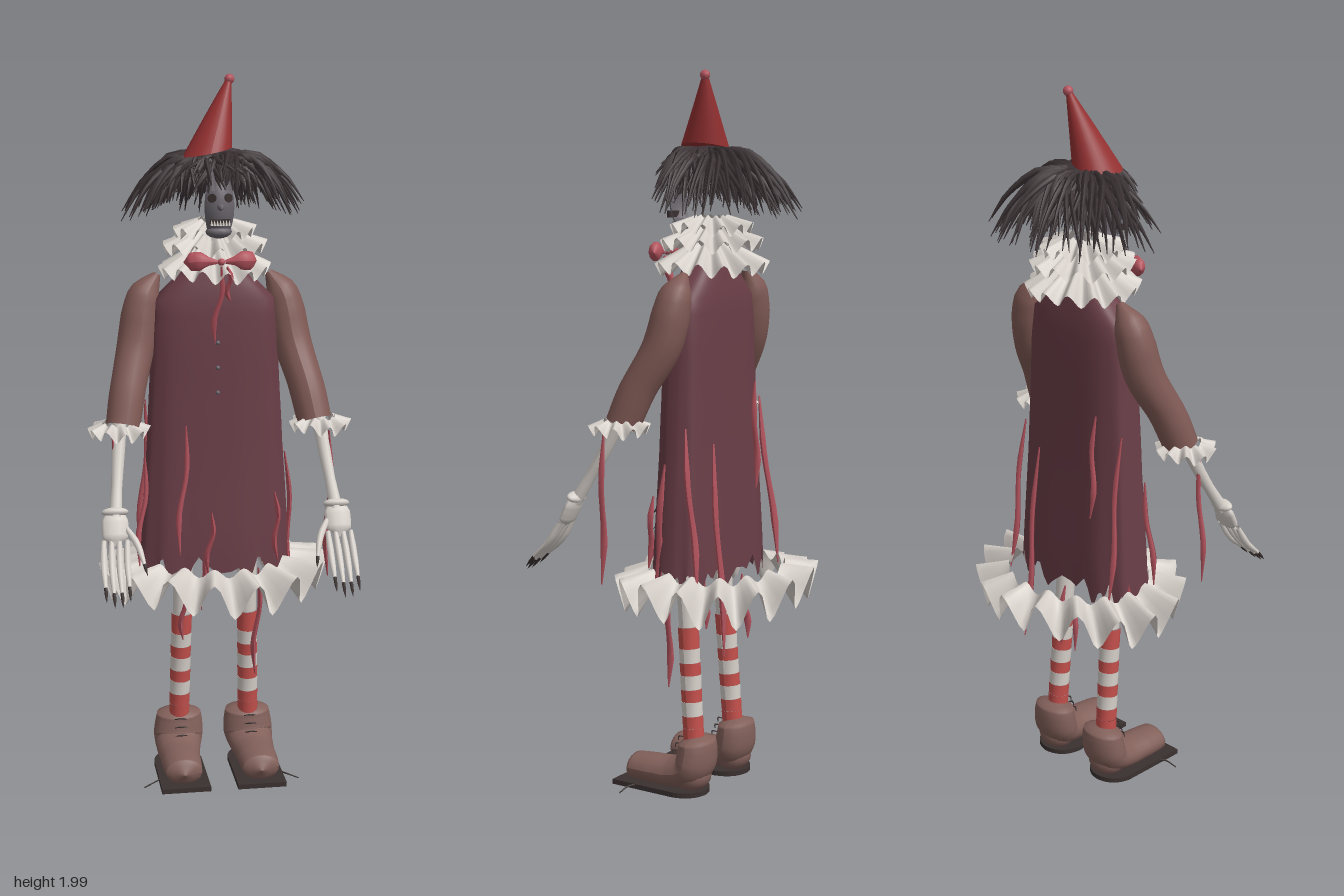
import * as THREE from 'three';
import { mergeGeometries } from 'three/addons/utils/BufferGeometryUtils.js';

const mat = (name, color, side = THREE.FrontSide) => {
  const m = new THREE.MeshStandardMaterial({ color, side });
  m.name = name;
  return m;
};
const lerp = THREE.MathUtils.lerp;
const sample = (list, t) => { // linear lookup in a short list
  const f = Math.min(t, 0.99999) * (list.length - 1), i = Math.floor(f);
  return lerp(list[i], list[i + 1], f - i);
};

// Tapered tube along points; sx and sz squash the section
function sweep(pts, radii, { n = 12, sides = 10, sx = 1, sz = 1 } = {}) {
  const curve = new THREE.CatmullRomCurve3(pts.map(p => new THREE.Vector3(...p)));
  const g = new THREE.TubeGeometry(curve, n, 1, sides, false);
  const p = g.attributes.position, v = new THREE.Vector3();
  for (let i = 0; i <= n; i++) {
    const c = curve.getPointAt(i / n), r = sample(radii, i / n);
    for (let j = 0; j <= sides; j++) {
      const k = i * (sides + 1) + j;
      v.fromBufferAttribute(p, k).sub(c).multiplyScalar(r);
      p.setXYZ(k, c.x + v.x * sx, c.y + v.y, c.z + v.z * sz);
    }
  }
  g.computeVertexNormals();
  return g;
}

// Closed ring surface, rows from top to bottom; f(k, angle) gives a point
function ringSurface(rows, cols, f) {
  const pos = [], idx = [];
  for (let i = 0; i <= rows; i++)
    for (let j = 0; j < cols; j++) pos.push(...f(i / rows, j / cols * Math.PI * 2));
  for (let i = 0; i < rows; i++)
    for (let j = 0; j < cols; j++) {
      const a = i * cols + j, b = i * cols + (j + 1) % cols;
      idx.push(a, b, a + cols, b, b + cols, a + cols);
    }
  const g = new THREE.BufferGeometry();
  g.setAttribute('position', new THREE.Float32BufferAttribute(pos, 3));
  g.setIndex(idx);
  g.computeVertexNormals();
  return g;
}

// Pleated frill from an inner ellipse to a wavy outer one
const frill = ([cx, cz], inner, outer, waves, amp, flare) =>
  ringSurface(5, waves * 8, (k, t) => {
    const w = Math.sin(waves * t) + 0.25 * Math.sin(3 * t + 1);
    const s = 1 + flare * w * k;
    return [cx + lerp(inner[0], outer[0], k) * s * Math.cos(t),
      lerp(inner[2], outer[2], k) + amp * w * (0.25 + 0.75 * k),
      cz + lerp(inner[1], outer[1], k) * s * Math.sin(t)];
  });

export function createModel() {
  const root = new THREE.Group();
  const M = {
    dress: mat('dressMaroon', 0x6a3e47, THREE.DoubleSide),
    sleeve: mat('sleeveBrown', 0x805a55),
    shoe: mat('shoeBrown', 0x82605a),
    hat: mat('hatRed', 0x943031),
    hair: mat('hairBlack', 0x3b3234),
    white: mat('boneWhite', 0xd6cfc9, THREE.DoubleSide),
    stripe: mat('stripeRed', 0xc4504c),
    ribbon: mat('ribbonRose', 0xb5545e),
    face: mat('faceGrey', 0x6a656c, THREE.DoubleSide),
    sole: mat('soleDark', 0x3a3130),
  };
  const add = (name, geo, m, x = 0, y = 0, z = 0) => {
    const mesh = new THREE.Mesh(geo, m);
    mesh.name = name;
    mesh.position.set(x, y, z);
    root.add(mesh);
    return mesh;
  };
  let seed = 7;
  const rnd = () => (seed = (seed * 16807) % 2147483647) / 2147483647;

  // Dress with a ragged hem
  const hx = [0.08, 0.165, 0.176, 0.179, 0.183, 0.188, 0.192, 0.198, 0.203, 0.208, 0.213];
  const hz = [0.05, 0.066, 0.07, 0.072, 0.073, 0.075, 0.077, 0.08, 0.084, 0.088, 0.09];
  add('dress', ringSurface(20, 96, (k, t) => {
    const c = Math.cos(t), s = Math.sin(t), e = 0.65;
    const fold = 1 + 0.02 * k * Math.sin(9 * t + 1);
    const rag = k === 1 ? 0.02 * Math.sin(t * 23) + 0.02 * Math.sin(t * 11 + 2) : 0;
    return [sample(hx, k) * fold * Math.sign(c) * Math.abs(c) ** e,
      lerp(1.48, 0.63, k) + rag,
      -0.055 + sample(hz, k) * fold * Math.sign(s) * Math.abs(s) ** e];
  }), M.dress);
  for (const y of [1.28, 1.21, 1.14]) add('button', new THREE.SphereGeometry(0.006, 8, 6), M.face, 0, y, 0.022);

  // Frills of hem and neck: [x radius, z radius, y]
  add('hemFrill', frill([0, -0.08], [0.215, 0.18, 0.64], [0.316, 0.25, 0.582], 16, 0.052, 0.055), M.white);
  add('collarLower', frill([0, -0.06], [0.06, 0.055, 1.535], [0.148, 0.15, 1.468], 14, 0.018, 0.06), M.white);
  add('collarMiddle', frill([0, -0.06], [0.05, 0.05, 1.58], [0.138, 0.135, 1.532], 13, 0.018, 0.06), M.white);
  add('collarUpper', frill([0, -0.06], [0.045, 0.045, 1.61], [0.11, 0.11, 1.575], 13, 0.016, 0.06), M.white);

  // Bow at the throat
  for (const s of [-1, 1])
    add('bowLoop', sweep([[0.01 * s, 1.512, 0.085], [0.05 * s, 1.515, 0.085], [0.1 * s, 1.51, 0.062]],
      [0.005, 0.012, 0.026, 0.026, 0], { sz: 0.6 }), M.ribbon);
  add('bowKnot', new THREE.SphereGeometry(0.01, 10, 8), M.ribbon, 0, 1.512, 0.086);

  // Loose ribbons: top point, bottom point
  const ribbons = [
    [0, 1.5, 0.085, -0.01, 1.28, 0.035], [0.015, 1.5, 0.085, 0.03, 1.4, 0.05],
    [-0.09, 1.05, 0.025, -0.11, 0.68, 0.04], [-0.02, 0.8, 0.035, -0.03, 0.62, 0.045],
    [0.16, 0.85, 0.025, 0.17, 0.65, 0.035], [0.12, 0.62, 0, 0.11, 0.3, 0.01],
    [-0.02, 0.62, -0.15, -0.02, 0.44, -0.17], [-0.1, 0.6, 0.03, -0.1, 0.42, 0.02],
    [0.19, 1.05, -0.1, 0.21, 0.6, -0.15], [-0.19, 1.1, -0.1, -0.2, 0.62, -0.16],
    [-0.2, 0.95, -0.02, -0.22, 0.64, 0.0], [0.2, 0.95, -0.04, 0.22, 0.56, -0.02],
    [0.1, 1.0, -0.132, 0.12, 0.42, -0.18], [-0.12, 1.15, -0.128, -0.11, 0.85, -0.14],
    [0.3, 1.04, 0.09, 0.3, 0.62, 0.1], [-0.3, 1.04, 0.09, -0.3, 0.64, 0.11],
  ];
  for (const [x, y, z, X, Y, Z] of ribbons)
    add('ribbon', sweep([[x, y, z], [lerp(x, X, 0.35) + 0.008, lerp(y, Y, 0.35), lerp(z, Z, 0.35)],
      [lerp(x, X, 0.7) - 0.008, lerp(y, Y, 0.7), lerp(z, Z, 0.7)], [X, Y, Z]],
    [0.003, 0.01, 0.009, 0.012, 0.002], { sides: 4, sx: 0.7 }), M.ribbon);

  for (const s of [1, -1]) {
    const m = pts => pts.map(([x, y, z]) => [x * s, y, z]);

    // Arm
    add('sleeve', sweep(m([[0.155, 1.46, -0.075], [0.193, 1.4, -0.07], [0.219, 1.27, -0.045],
      [0.25, 1.15, 0.015], [0.267, 1.06, 0.05]]), [0.01, 0.046, 0.053, 0.054, 0.052, 0.05, 0.05, 0.048],
    { n: 24, sides: 16 }), M.sleeve);
    add('cuffFrill', frill([0.28 * s, 0.053], [0.043, 0.043, 1.072], [0.079, 0.077, 1.045], 10, 0.016, 0.1), M.white);
    add('forearm', sweep(m([[0.277, 1.07, 0.055], [0.288, 0.97, 0.105], [0.303, 0.84, 0.185]]),
      [0.02, 0.018, 0.015, 0.018]), M.white);
    const wrist = add('wrist', new THREE.SphereGeometry(1, 16, 10).scale(0.037, 0.013, 0.02), M.white, 0.304 * s, 0.855, 0.18);
    wrist.rotation.x = -0.5;
    add('palm', sweep(m([[0.304, 0.855, 0.178], [0.306, 0.81, 0.2], [0.307, 0.77, 0.22]]),
      [0.012, 0.018, 0.018, 0.017, 0], { sx: 2, sz: 0.8 }), M.white);

    // Fingers with dark claw tips
    const fingers = [0, 1, 2, 3].map(i => {
      const x = 0.275 + i * 0.021, d = i === 0 || i === 3 ? 0.012 : 0;
      return [[x, 0.785, 0.212], [x * 1.01, 0.725, 0.258 - d * 0.5], [x * 1.01, 0.67 + d, 0.312 - d], [x * 1.01, 0.637 + d, 0.342 - d]];
    });
    fingers.push([[0.275, 0.815, 0.2], [0.25, 0.78, 0.235], [0.235, 0.735, 0.275], [0.229, 0.71, 0.297]]);
    for (const f of fingers) {
      add('finger', sweep(m(f.slice(0, 3)), [0.007, 0.0095, 0.0085, 0.005], { sides: 8 }), M.white);
      add('claw', sweep(m([f[2], f[2].map((v, i) => (v + f[3][i]) / 2), f[3]]), [0.005, 0.004, 0], { n: 4, sides: 6 }), M.sole);
    }

    // Leg in striped stocking, stacked bands
    const legX = y => lerp(0.102, 0.092, (y - 0.15) / 0.5), legZ = y => lerp(-0.07, -0.035, (y - 0.15) / 0.5);
    const bands = [0.15, 0.195, 0.23, 0.27, 0.305, 0.345, 0.38, 0.42, 0.48, 0.7];
    for (let i = 0; i < 9; i++) {
      const [a, b] = [bands[i], bands[i + 1]], red = i === 0 || (i % 2 === 1);
      add(red ? 'redStripe' : 'whiteStripe', sweep(m([[legX(a), a, legZ(a)], [legX(b), b, legZ(b)]]),
        i === 8 ? [0.026, 0.03] : [0.029, 0.03], { n: 2, sides: 16 }), red ? M.stripe : M.white);
    }

    // Shoe, sole and laces
    add('shoe', sweep(m([[0.102, 0.18, -0.08], [0.102, 0.13, -0.082], [0.105, 0.083, -0.07], [0.109, 0.062, -0.02],
      [0.111, 0.058, 0.05], [0.111, 0.055, 0.14]]),
    [0, 0.046, 0.049, 0.051, 0.052, 0.05, 0.047, 0.045, 0.043, 0.042, 0.041, 0.041, 0.04, 0.039, 0.037, 0],
    { n: 45, sides: 20, sx: 1.4 }), M.shoe);
    add('heel', new THREE.SphereGeometry(0.053, 16, 10).scale(1.08, 0.9, 1), M.shoe, 0.106 * s, 0.062, -0.068);
    // Rounded-corner sole plate
    const plate = new THREE.Shape();
    plate.moveTo(-0.07, -0.145).lineTo(0.07, -0.145).lineTo(0.07, 0.06)
      .quadraticCurveTo(0.06, 0.12, 0, 0.125).quadraticCurveTo(-0.06, 0.12, -0.07, 0.06);
    add('sole', new THREE.ExtrudeGeometry(plate, { depth: 0.014, bevelEnabled: false, curveSegments: 8 })
      .rotateX(-Math.PI / 2), M.sole, 0.109 * s, 0.01, 0.011);
    for (let i = 0; i < 3; i++) {
      const y = 0.155 - i * 0.022, z = -0.026 + i * 0.01;
      add('lace', sweep(m([[0.085, y, z - 0.004], [0.102, y + 0.006, z + 0.006], [0.12, y, z - 0.004]]),
        [0.001, 0.0025, 0.001], { n: 6, sides: 5 }), M.sole);
    }
    add('looseLace', sweep(m([[0.15, 0.02, 0.05], [0.19, 0.02, 0.09], [0.225, 0.008, 0.1]]), [0.003, 0.002], { sides: 5 }), M.sole);
  }

  // Broken mask face
  add('mask', new THREE.SphereGeometry(1, 16, 12, 0.75, 1.65, 0.55, 1.9).scale(0.055, 0.1, 0.07), M.face, 0, 1.655, 0);
  for (const s of [-1, 1]) {
    const eye = add('eye', new THREE.CylinderGeometry(0.012, 0.012, 0.006, 12).rotateX(Math.PI / 2), M.sole, 0.022 * s, 1.68, 0.063);
    eye.rotation.y = 0.4 * s;
    add('browSpike', new THREE.ConeGeometry(0.014, 0.06, 4), M.face, 0.02 * s, 1.73, 0.055);
  }
  add('nose', new THREE.ConeGeometry(0.012, 0.025, 6).rotateX(1.7), M.face, 0, 1.655, 0.078);
  add('mouth', new THREE.BoxGeometry(0.055, 0.018, 0.008), M.sole, 0, 1.615, 0.064);
  for (let i = -3; i <= 3; i++)
    add('tooth', new THREE.ConeGeometry(0.004, 0.016, 4), M.white, i * 0.008, 1.615, 0.069);
  add('chin', new THREE.SphereGeometry(0.03, 10, 8).scale(1.2, 0.6, 1), M.face, 0, 1.587, 0.035);

  // Shaggy hair: strands lie flat in front and droop at the sides and back
  const strands = [];
  for (let i = 0; i < 300; i++) {
    const a = i * 2.39996, c = Math.cos(a), s = Math.sin(a);
    const front = THREE.MathUtils.smoothstep(s, -0.2, 0.6), far = 0.42 + 0.58 * rnd();
    const len = far * lerp(0.26, 0.14, front);
    const drop = lerp(0.05 + 0.09 * far + 0.04 * rnd(), 0.03 + 0.06 * rnd(), front);
    const r0 = 0.03 + 0.03 * rnd(), j = (rnd() - 0.5) * 0.1, top = 1.765 + rnd() * 0.03;
    const at = (d, y, k) => [c * d - s * k, y, -0.045 + s * d + c * k];
    strands.push(sweep([at(r0, top - 0.005, 0), at(lerp(r0, len, 0.35), top - drop * 0.06, -j * 0.2),
      at(lerp(r0, len, 0.75), top - drop * 0.48, j * 0.4), at(len, top - drop, j)],
    [0.007, 0.0095, 0.007, 0.005, 0.001], { n: 7, sides: 5 }));
  }
  add('hair', mergeGeometries(strands), M.hair);
  add('hairCrown', new THREE.SphereGeometry(1, 20, 10).scale(0.08, 0.022, 0.075), M.hair, 0, 1.778, -0.05);

  // Leaning party hat with a small pompom
  const hat = new THREE.CylinderGeometry(0.008, 0.067, 0.19, 28, 6);
  const hp = hat.attributes.position;
  for (let i = 0; i < hp.count; i++) { // shear the tip sideways and back
    const k = (hp.getY(i) + 0.095) / 0.19;
    hp.setXYZ(i, hp.getX(i) + 0.064 * k, hp.getY(i) + 0.012 * (1 - k) * hp.getX(i) / 0.064, hp.getZ(i) - 0.04 * k);
  }
  hat.computeVertexNormals();
  add('hat', hat, M.hat, -0.022, 1.89, -0.026);
  add('pompom', new THREE.IcosahedronGeometry(0.014, 1), M.ribbon, 0.044, 1.986, -0.067);

  return root;
}
